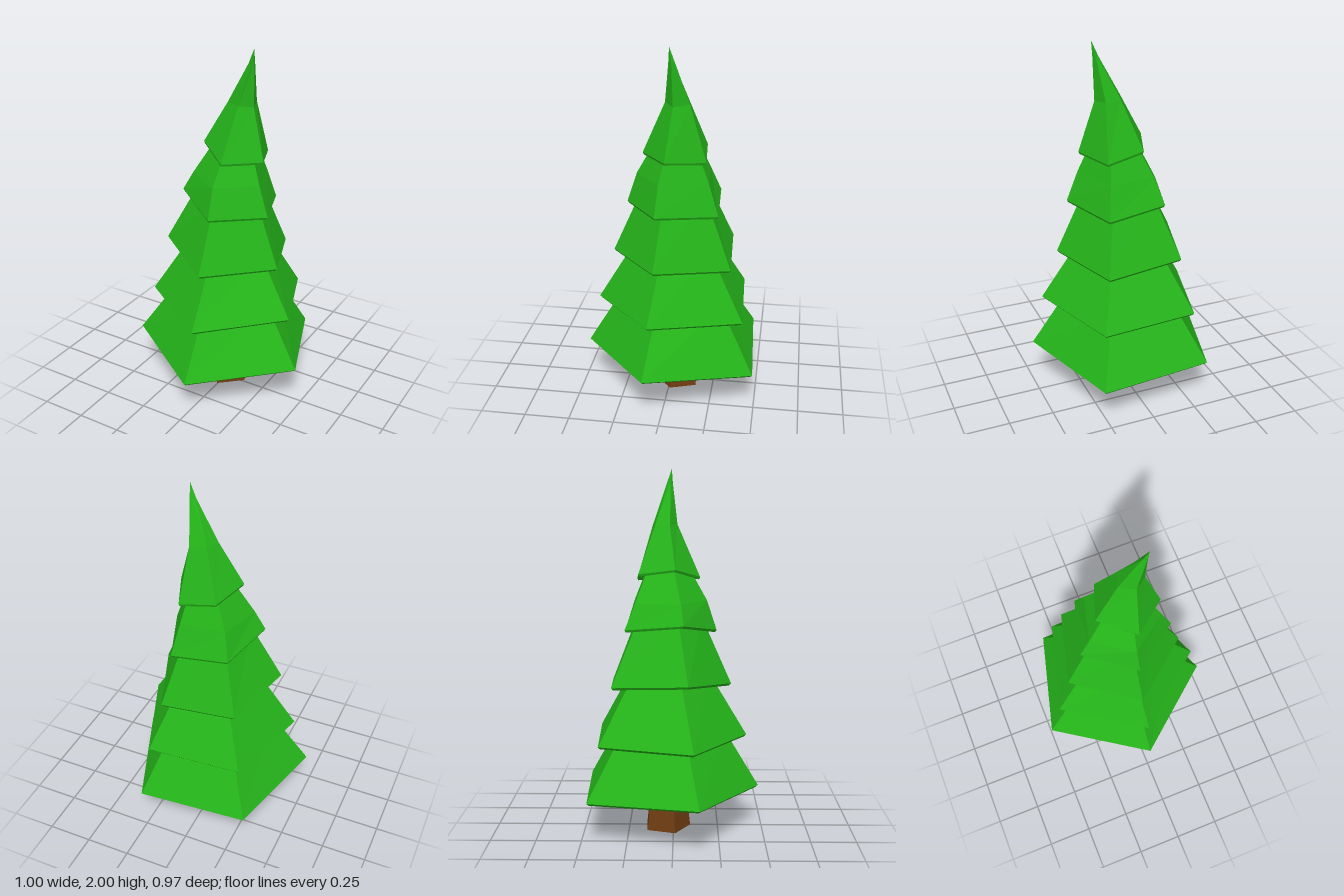
import * as THREE from 'three';

const SIDES = 5;

// Five corners per ring, in order: back left, back right, right, front, left. Each is [x, y, z].
const tiers = [
  { rim: [[-0.34, 0.245, -0.46], [0.28, 0.225, -0.49], [0.5, 0.265, 0.09], [0.02, 0.232, 0.48], [-0.5, 0.265, 0.14]],
    upper: [[0.59, 0.58, 0, -0.04]] },
  { rim: [[-0.28, 0.54, -0.4], [0.25, 0.53, -0.425], [0.44, 0.56, 0.07], [0.03, 0.528, 0.41], [-0.42, 0.54, 0.11]],
    upper: [[0.51, 0.89, 0.01, -0.04]] },
  { rim: [[-0.225, 0.85, -0.33], [0.197, 0.815, -0.35], [0.35, 0.84, 0.05], [0.02, 0.825, 0.32], [-0.335, 0.88, 0.08]],
    upper: [[0.53, 1.2, 0.01, -0.04]] },
  { rim: [[-0.155, 1.15, -0.26], [0.165, 1.11, -0.275], [0.285, 1.13, 0.05], [0.03, 1.125, 0.237], [-0.24, 1.185, 0.055]],
    upper: [[0.78, 1.29, 0.018, -0.032], [0.42, 1.48, 0.04, -0.04]] },
  { rim: [[-0.06, 1.44, -0.19], [0.145, 1.4, -0.205], [0.23, 1.415, 0.005], [0.055, 1.415, 0.145], [-0.13, 1.47, 0.01]],
    upper: [] },
];

// Skin consecutive rings from bottom to top; both ends are closed with fans.
function loft(rings, material, name) {
  const pos = [];
  const tri = (a, b, c) => pos.push(...a, ...b, ...c);
  for (let r = 0; r < rings.length - 1; r++) {
    const lo = rings[r], hi = rings[r + 1];
    for (let i = 0; i < SIDES; i++) {
      const j = (i + 1) % SIDES;
      tri(lo[j], lo[i], hi[i]);
      tri(lo[j], hi[i], hi[j]);
    }
  }
  const first = rings[0], last = rings[rings.length - 1];
  for (let i = 1; i < SIDES - 1; i++) {
    tri(first[0], first[i], first[i + 1]);
    tri(last[0], last[i + 1], last[i]);
  }
  const geometry = new THREE.BufferGeometry();
  geometry.setAttribute('position', new THREE.Float32BufferAttribute(pos, 3));
  geometry.computeVertexNormals();
  const mesh = new THREE.Mesh(geometry, material);
  mesh.name = name;
  return mesh;
}

const centre = (ring, k) => ring.reduce((s, p) => s + p[k], 0) / SIDES;

// Shrunken flat copy of a rim, moved to a new centre and height
function flatRing(rim, [s, y, x, z]) {
  const cx = centre(rim, 0), cz = centre(rim, 2);
  return rim.map(p => [x + s * (p[0] - cx), y, z + s * (p[2] - cz)]);
}

// Thin lip just below and inside a rim
function lipRing(rim) {
  const cx = centre(rim, 0), cz = centre(rim, 2);
  return rim.map(p => [cx + 0.97 * (p[0] - cx), p[1] - 0.013, cz + 0.97 * (p[2] - cz)]);
}

export function createModel() {
  const group = new THREE.Group();
  group.name = 'pineTree';
  const green = new THREE.MeshStandardMaterial({ color: 0x25b41a, flatShading: true });
  const brown = new THREE.MeshStandardMaterial({ color: 0x6e3c12, flatShading: true });

  // Foliage: hollow underside, then lip, rim and slope of each tier
  const rings = [flatRing(tiers[0].rim, [0.2, 0.32, -0.01, -0.03])];
  for (const { rim, upper } of tiers) {
    rings.push(lipRing(rim), rim, ...upper.map(u => flatRing(rim, u)));
  }
  // Bent top, leaning to one side
  rings.push([[0.03, 1.7, -0.1], [0.12, 1.7, -0.115], [0.15, 1.69, -0.03], [0.085, 1.7, 0.02], [0, 1.7, -0.02]]);
  rings.push([[0.138, 1.92, -0.032], [0.148, 1.92, -0.04], [0.155, 1.92, -0.022], [0.142, 1.92, -0.006], [0.122, 1.92, -0.018]]);
  rings.push(Array.from({ length: SIDES }, () => [0.157, 2, -0.012]));
  group.add(loft(rings, green, 'foliage'));

  // Trunk, narrowest a little above the ground
  const foot = [[-0.09, 0, -0.145], [0.07, 0, -0.152], [0.12, 0, -0.01], [0, 0, 0.095], [-0.135, 0, 0.01]];
  const trunk = [foot, flatRing(foot, [0.86, 0.15, -0.007, -0.04]), flatRing(foot, [0.94, 0.36, -0.007, -0.04])];
  group.add(loft(trunk, brown, 'trunk'));

  return group;
}
